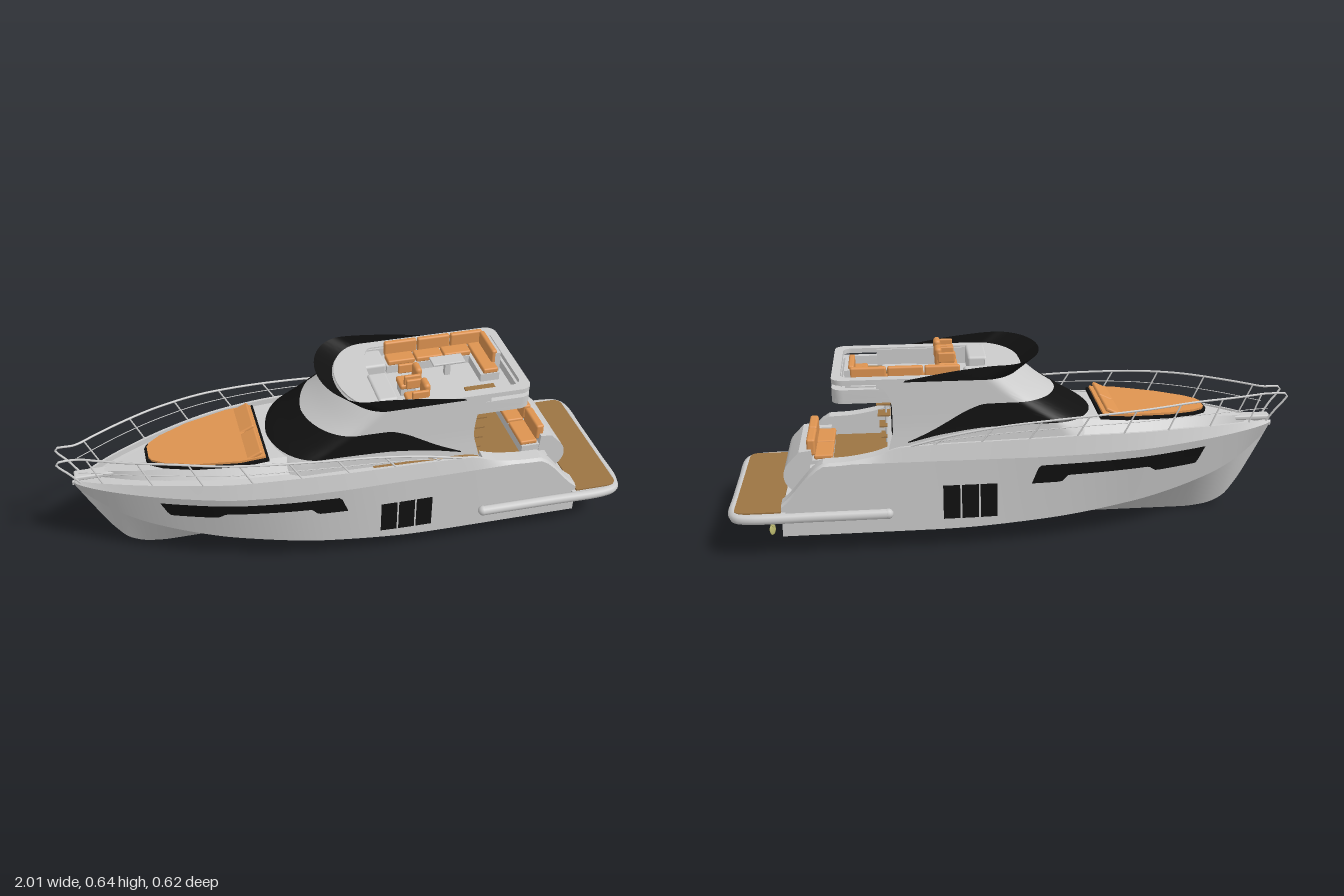
import * as THREE from 'three';
import { toCreasedNormals } from 'three/addons/utils/BufferGeometryUtils.js';
import { RoundedBoxGeometry } from 'three/addons/geometries/RoundedBoxGeometry.js';

const mat = (color) => new THREE.MeshStandardMaterial({ color, side: THREE.DoubleSide });
const grey = mat(0xcccccc), black = mat(0x111111), orange = mat(0xdd9350), teak = mat(0x9c7443), brass = mat(0xb5b36a);
const SIDES = [1, -1];

// Smooth monotone interpolation through a few [x, value] pairs
function table(...p) {
  const d = p.slice(1).map((q, i) => (q[1] - p[i][1]) / (q[0] - p[i][0]));
  const m = p.map((_, i) => {
    const a = d[Math.max(i - 1, 0)], b = d[Math.min(i, d.length - 1)];
    return a * b <= 0 ? 0 : 2 * a * b / (a + b);
  });
  return (x) => {
    if (x <= p[0][0]) return p[0][1];
    for (let i = 0; i < d.length; i++) {
      if (x > p[i + 1][0]) continue;
      const h = p[i + 1][0] - p[i][0], t = (x - p[i][0]) / h, s = 1 - t;
      return p[i][1] * (1 + 2 * t) * s * s + m[i] * h * t * s * s + p[i + 1][1] * t * t * (3 - 2 * t) - m[i + 1] * h * t * t * s;
    }
    return p[p.length - 1][1];
  };
}

// Surface through a grid of points f(u, v), u and v in 0..1
function sheet(nu, nv, f, crease = 0.5) {
  const pos = [], idx = [];
  for (let i = 0; i <= nu; i++) for (let j = 0; j <= nv; j++) pos.push(...f(i / nu, j / nv));
  for (let i = 0; i < nu; i++) for (let j = 0; j < nv; j++) {
    const a = i * (nv + 1) + j, b = a + nv + 1;
    idx.push(a, b, a + 1, b, b + 1, a + 1);
  }
  const g = new THREE.BufferGeometry();
  g.setAttribute('position', new THREE.Float32BufferAttribute(pos, 3));
  g.setIndex(idx);
  return toCreasedNormals(g, crease);
}

// Hull lines as functions of x
const keelY = table([-0.96, 0.33], [-0.9, 0.21], [-0.84, 0.1], [-0.79, 0.037], [-0.72, 0.008], [-0.64, 0], [0.82, 0]);
const chineY0 = table([-0.96, 0.33], [-0.93, 0.28], [-0.8, 0.2], [-0.7, 0.167], [-0.4, 0.115], [0, 0.085], [0.3, 0.075], [0.82, 0.075]);
const chineY = (x) => Math.max(chineY0(x), keelY(x));
const chineZ = table([-0.96, 0], [-0.93, 0.004], [-0.8, 0.06], [-0.6, 0.135], [-0.4, 0.19], [-0.1, 0.245], [0.2, 0.265], [0.82, 0.27]);
const sheerZ = table([-0.96, 0], [-0.93, 0.03], [-0.8, 0.105], [-0.6, 0.185], [-0.4, 0.24], [-0.2, 0.262], [0, 0.27], [0.82, 0.27]);
const sheerY = table([-0.96, 0.335], [-0.8, 0.36], [-0.5, 0.385], [-0.2, 0.395], [0.1, 0.39], [0.4, 0.38], [0.5, 0.35], [0.6, 0.335], [0.67, 0.332], [0.7, 0.31], [0.8, 0.2], [0.82, 0.185]);
const knuckleY = (x) => Math.min(0.33, sheerY(x) - 0.008);
const deckY = (x) => (x < 0.45 ? sheerY(x) - 0.02 : x < 0.72 ? 0.255 : 0.165);
const hullZ = (x, y) => THREE.MathUtils.lerp(chineZ(x), sheerZ(x), (y - chineY(x)) / (knuckleY(x) - chineY(x)));
function section(x) {
  const z = sheerZ(x), inner = x < 0.45 ? Math.max(0, z - 0.022) : 0.21, d = deckY(x);
  return [[keelY(x), 0], [chineY(x), chineZ(x)], [knuckleY(x), z], [sheerY(x), Math.max(0, z - 0.012)],
    [sheerY(x), inner], [d, inner], [d, 0]];
}

// Cabin outline: rounded front, straight sides; u in -1..1 with 0 on the bow side
function outline(xf, a, w, xr, u) {
  const s = Math.min(Math.abs(u) / 0.5, 1) * Math.PI / 2, back = Math.max(0, Math.abs(u) - 0.5) * 2;
  return [xf + a * (1 - Math.cos(s)) + (xr - xf - a) * back, Math.sign(u) * w * Math.sin(s)];
}
const cabFront = table([0.34, -0.33], [0.42, -0.27], [0.47, -0.19], [0.53, -0.1], [0.6, -0.02]);
const cabBack = table([0.34, 0.45], [0.38, 0.44], [0.45, 0.425], [0.52, 0.432], [0.57, 0.455], [0.6, 0.5]);
const cabWidth = table([0.34, 0.218], [0.45, 0.21], [0.6, 0.208]);
function cabinPoint(u, y, off = 0) {
  const [x, z] = outline(cabFront(y) - off, 0.14, cabWidth(y) + off, cabBack(y), u);
  return [x, y, z];
}

// Plan shape: rounded bow side, rounded aft corners
function plan(xf, a, w, xr, r) {
  const pts = [];
  for (let i = 0; i <= 28; i++) {
    const t = (i / 28 - 0.5) * Math.PI;
    pts.push(new THREE.Vector2(xf + a * (1 - Math.cos(t)), w * Math.sin(t)));
  }
  for (const s of SIDES) for (let i = 0; i <= 6; i++) {
    const t = (s > 0 ? 6 - i : i) / 6 * Math.PI / 2;
    pts.push(new THREE.Vector2(xr - r + r * Math.cos(t), s * (w - r + r * Math.sin(t))));
  }
  return new THREE.Shape(pts);
}

export function createModel() {
  const root = new THREE.Group();
  const add = (name, geo, m = grey, parent = root) => {
    const mesh = new THREE.Mesh(geo, m);
    mesh.name = name;
    parent.add(mesh);
    return mesh;
  };
  // Box given by its limits in x, y and z
  const box = (name, x0, x1, y0, y1, z0, z1, m = grey, r = 0) => {
    const s = [x1 - x0, y1 - y0, z1 - z0];
    const o = add(name, r ? new RoundedBoxGeometry(...s, 3, r) : new THREE.BoxGeometry(...s), m);
    o.position.set((x0 + x1) / 2, (y0 + y1) / 2, (z0 + z1) / 2);
    return o;
  };
  const slab = (name, shape, y0, y1, m = grey) => {
    const g = new THREE.ExtrudeGeometry(shape, { depth: y1 - y0, bevelEnabled: false, curveSegments: 12 }).rotateX(-Math.PI / 2);
    const o = add(name, toCreasedNormals(g, 0.5), m);
    o.position.y = y0;
    return o;
  };
  const tube = (name, pts, r, m = grey, n = 40) =>
    add(name, new THREE.TubeGeometry(new THREE.CatmullRomCurve3(pts.map((p) => new THREE.Vector3(...p)), false, 'centripetal'), n, r, 8), m);

  // Hull, bulwarks and decks, with close stations at the deck steps
  const xs = [];
  for (let i = 0; i <= 90; i++) xs.push(-0.96 + 1.775 * (i / 90) ** 1.25);
  xs.push(0.4499, 0.4501, 0.7199, 0.7201);
  xs.sort((a, b) => a - b);
  for (const s of SIDES) for (let k = 0; k < 6; k++) {
    add('hull', sheet(xs.length - 1, 1, (u, v) => {
      const x = xs[Math.round(u * (xs.length - 1))], [y, z] = section(x)[k + Math.round(v)];
      return [x, y, s * z];
    }));
  }
  const end = section(0.815).map(([y, z]) => new THREE.Vector2(z, y));
  const transom = new THREE.Shape([...end, ...end.slice(1, -1).reverse().map((p) => new THREE.Vector2(-p.x, p.y))]);
  add('transom', new THREE.ShapeGeometry(transom).rotateY(Math.PI / 2)).position.x = 0.815;

  // Hull windows and side deck planking
  const winTop = table([-0.675, 0.301], [-0.07, 0.299], [-0.04, 0.234]);
  const winLow = table([-0.675, 0.3], [-0.64, 0.236], [-0.49, 0.236], [-0.455, 0.256], [-0.17, 0.256], [-0.14, 0.232], [-0.04, 0.232]);
  for (const s of SIDES) {
    const pane = (x0, x1, low, top) => add('hullWindow', sheet(60, 4, (u, v) => {
      const x = x0 + (x1 - x0) * u, y = low(x) + (top(x) - low(x)) * v;
      return [x, y, s * (hullZ(x, y) + 0.003)];
    }), black);
    pane(-0.675, -0.04, winLow, winTop);
    for (let i = 0; i < 3; i++) pane(0.08 + i * 0.064, 0.138 + i * 0.064, () => 0.115, () => 0.24);
    add('sideDeck', sheet(20, 1, (u, v) => [0.06 + 0.385 * u, deckY(0.06 + 0.385 * u) + 0.003, s * (0.212 + 0.034 * v)]), teak);
  }

  // Raised foredeck with sunpad
  const trunkW = table([-0.86, 0], [-0.75, 0.065], [-0.6, 0.125], [-0.4, 0.18], [-0.2, 0.205]);
  const trunkY = table([-0.86, 0.36], [-0.6, 0.395], [-0.3, 0.418], [-0.2, 0.42]);
  add('foredeckTrunk', sheet(40, 12, (u, v) => {
    const x = -0.86 + 0.66 * u, t = v * 2 - 1, e = Math.min(1, (1 - Math.abs(t)) * 6);
    return [x, deckY(x) - 0.01 + (trunkY(x) - deckY(x) + 0.01) * e, trunkW(x) * t * (1 - 0.1 * e)];
  }));
  const pad = (grow) => new THREE.Shape([[0.39, 0.155], [0.3, 0.155], [0.15, 0.122], [0.05, 0.08], [0.01, 0.05], [0, 0.03]]
    .flatMap(([x, z]) => [[x, z], [x, -z]]).sort((a, b) => Math.atan2(a[1], a[0] - 0.2) - Math.atan2(b[1], b[0] - 0.2))
    .map(([x, z]) => new THREE.Vector2(0.2 + (x - 0.2) * grow, z * grow)));
  for (const [name, grow, h, m] of [['sunpadBorder', 1.05, 0.012, black], ['sunpad', 1, 0.02, orange]]) {
    const p = slab(name, pad(grow), 0.392, 0.392 + h, m);
    p.position.x = -0.69;
    p.rotation.z = 0.07;
  }
  for (const s of SIDES) {
    const pillow = box('sunpadBackrest', -0.37, -0.31, 0.432, 0.446, s > 0 ? 0.004 : -0.15, s > 0 ? 0.15 : -0.004, orange, 0.006);
    pillow.rotation.z = 0.45;
  }
  box('bowRoller', -0.95, -0.76, 0.345, 0.362, -0.022, 0.022, grey, 0.006);

  // Bow rails with posts and a thin middle wire
  const railY = table([-1, 0.447], [-0.8, 0.464], [-0.6, 0.475], [-0.3, 0.466], [0, 0.447], [0.2, 0.42], [0.37, 0.383]);
  const railZ = (x) => Math.max(0.042, sheerZ(x + 0.03) - 0.015);
  for (const s of SIDES) {
    const top = [], mid = [];
    for (let x = -1; x <= 0.38; x += 0.0685) {
      top.push([x, railY(x), s * railZ(x)]);
      if (x > -0.98) mid.push([x, (railY(x) + sheerY(x)) / 2, s * railZ(x)]);
    }
    tube('bowRail', [[-0.93, 0.345, s * 0.032], [-0.96, 0.39, s * 0.038], ...top], 0.004, grey, 90);
    tube('railWire', mid, 0.0015, grey, 60);
    for (let x = -0.9; x < 0.3; x += 0.165) {
      tube('railPost', [[x + 0.045, sheerY(x + 0.045) - 0.005, s * (sheerZ(x + 0.045) - 0.015)], [x, railY(x), s * railZ(x)]], 0.003, grey, 2);
    }
  }

  // Cabin shell, wraparound window and upper visor
  add('cabin', sheet(96, 16, (u, v) => cabinPoint(u * 2 - 1, 0.34 + 0.26 * v)));
  const bandTop = table([0, 0.5], [0.5, 0.511], [0.62, 0.51], [0.7, 0.495], [0.82, 0.452], [0.95, 0.384]);
  const bandLow = table([0, 0.42], [0.5, 0.432], [0.7, 0.427], [0.85, 0.407], [0.95, 0.38]);
  add('cabinWindow', sheet(96, 8, (u, v) => {
    const t = (u * 2 - 1) * 0.95, a = Math.abs(t);
    return cabinPoint(t, bandLow(a) + (bandTop(a) - bandLow(a)) * v, 0.004);
  }), black);
  const visorTop = table([0, 0.645], [0.5, 0.643], [0.68, 0.632], [0.95, 0.6]);
  add('visor', sheet(96, 4, (u, v) => {
    const t = (u * 2 - 1) * 0.95, y = 0.594 + (visorTop(Math.abs(t)) - 0.594) * v;
    const [x, z] = outline(-0.024 - 0.066 * v, 0.14, 0.211, 0.42, t);
    return [x, y, z];
  }), black);

  // Aft bulkhead with sliding doors
  box('bulkhead', 0.4, 0.425, 0.25, 0.53, -0.207, 0.207);
  box('doorFrame', 0.42, 0.43, 0.258, 0.51, -0.165, 0.165);
  for (const s of SIDES) box('door', 0.425, 0.434, 0.264, 0.503, s > 0 ? 0.002 : -0.156, s > 0 ? 0.156 : -0.002, black);

  // Flybridge floor, side walls and top ring
  slab('flybridgeFloor', plan(-0.08, 0.14, 0.205, 0.63, 0.04), 0.523, 0.54);
  const ring = (xf, w) => {
    const s = plan(xf, 0.14, 0.208, 0.63, 0.04);
    s.holes.push(plan(0.1, 0.05, w, 0.6, 0.03));
    return s;
  };
  slab('flybridgeWall', ring(-0.04, 0.185), 0.54, 0.572);
  slab('flybridgeRing', ring(-0.02, 0.172), 0.588, 0.605);
  for (const s of SIDES) box('flybridgeCoaming', 0.1, 0.48, 0.54, 0.6, s > 0 ? 0.165 : -0.206, s > 0 ? 0.206 : -0.165);

  // Flybridge furniture
  box('helmConsole', 0.09, 0.16, 0.54, 0.612, 0.0, 0.165, grey, 0.01);
  box('cornerUnit', 0.09, 0.18, 0.54, 0.6, -0.165, -0.06, grey, 0.01);
  for (const z of [0.035, 0.135]) {
    box('helmSeatBase', 0.2, 0.255, 0.54, 0.57, z - 0.025, z + 0.025);
    box('helmSeat', 0.195, 0.265, 0.57, 0.59, z - 0.033, z + 0.033, orange, 0.008);
    box('helmSeatBack', 0.25, 0.275, 0.575, 0.645, z - 0.028, z + 0.028, orange, 0.012);
    for (const s of SIDES) box('armrest', 0.205, 0.265, 0.595, 0.632, z + s * 0.037 - 0.006, z + s * 0.037 + 0.006, orange, 0.005);
  }
  box('sofaBase', 0.19, 0.57, 0.54, 0.57, -0.165, -0.09);
  box('sofaBaseAft', 0.5, 0.57, 0.54, 0.57, -0.09, 0.04);
  box('sofaBackAft', 0.565, 0.585, 0.54, 0.625, -0.16, 0.0);
  for (let i = 0; i < 3; i++) {
    box('sofaCushion', 0.195 + i * 0.105, 0.296 + i * 0.105, 0.57, 0.59, -0.145, -0.09, orange, 0.006);
    box('sofaBack', 0.195 + i * 0.125, 0.316 + i * 0.125, 0.58, 0.634, -0.163, -0.143, orange, 0.007);
  }
  box('sofaCushionAft', 0.51, 0.565, 0.57, 0.59, -0.145, 0.04, orange, 0.006);
  box('sofaBackCushionAft', 0.552, 0.572, 0.58, 0.636, -0.142, 0.0, orange, 0.007);
  box('table', 0.34, 0.46, 0.592, 0.6, -0.07, -0.015, grey, 0.003);
  box('tableLeg', 0.39, 0.41, 0.54, 0.592, -0.05, -0.03);
  box('stairHatch', 0.43, 0.54, 0.54, 0.545, 0.065, 0.15, teak);

  // Stair from cockpit to flybridge
  tube('stairPole', [[0.455, 0.26, 0.112], [0.455, 0.53, 0.112]], 0.004, grey, 2);
  for (let i = 0; i < 6; i++) box('stairStep', 0.438, 0.475 + 0.005 * i, 0.288 + i * 0.042, 0.293 + i * 0.042, 0.08, 0.145, teak);

  // Cockpit floor, steps and stern sofa
  box('cockpitFloor', 0.43, 0.715, 0.254, 0.261, -0.209, 0.209, teak);
  for (const s of SIDES) {
    const at = (a, b) => (s > 0 ? [a, b] : [-b, -a]);
    box('sternStep', 0.71, 0.77, 0.165, 0.21, ...at(0.14, 0.21));
    box('sternStepTread', 0.72, 0.765, 0.21, 0.214, ...at(0.15, 0.205), teak);
    box('sternSideBlock', 0.66, 0.715, 0.26, 0.3, ...at(0.18, 0.212));
    box('sternSeat', 0.64, 0.705, 0.298, 0.315, ...at(0.004, 0.135), orange, 0.006);
    box('sternBackrest', 0.7, 0.73, 0.31, 0.37, ...at(0.004, 0.128), orange, 0.008);
  }
  box('sternSeatBase', 0.645, 0.72, 0.26, 0.298, -0.14, 0.14);
  const back = new THREE.Shape();
  back.moveTo(0.7, 0.165);
  back.lineTo(0.785, 0.165);
  back.lineTo(0.79, 0.195);
  back.bezierCurveTo(0.825, 0.225, 0.815, 0.27, 0.795, 0.29);
  back.lineTo(0.757, 0.33);
  back.lineTo(0.715, 0.335);
  const backGeo = new THREE.ExtrudeGeometry(back, { depth: 0.285, bevelEnabled: false, curveSegments: 10 });
  add('sternSofaBack', toCreasedNormals(backGeo, 0.6)).position.z = -0.1425;

  // Swim platform with rounded fender
  slab('swimPlatform', plan(0.8, 0.001, 0.29, 0.985, 0.05), 0.136, 0.165);
  slab('platformPlanking', plan(0.812, 0.006, 0.278, 0.975, 0.03), 0.165, 0.17, teak);
  const half = [[0.455, 0.15, 0.285], [0.7, 0.15, 0.287], [0.92, 0.15, 0.287], [0.965, 0.15, 0.272], [0.981, 0.15, 0.23], [0.982, 0.15, 0.1]];
  tube('fender', [...half, ...half.map(([x, y, z]) => [x, y, -z]).reverse()], 0.018, grey, 120);
  for (const s of SIDES) add('fenderEnd', new THREE.SphereGeometry(0.018, 12, 8)).position.set(0.455, 0.15, s * 0.285);

  // Propellers
  for (const s of SIDES) {
    const prop = new THREE.Group();
    prop.name = 'propeller';
    prop.position.set(0.868, 0.055, s * 0.108);
    add('shaft', new THREE.CylinderGeometry(0.007, 0.007, 0.07, 12).rotateZ(Math.PI / 2), brass, prop).position.x = -0.025;
    add('hub', new THREE.SphereGeometry(0.009, 12, 8).scale(1.6, 1, 1), brass, prop);
    for (let i = 0; i < 4; i++) {
      const blade = new THREE.SphereGeometry(1, 14, 10).scale(0.004, 0.02, 0.016).rotateY(0.6).translate(0, 0.025, 0);
      add('blade', blade, brass, prop).rotation.x = 0.25 + i * Math.PI / 2;
    }
    root.add(prop);
  }
  return root;
}
